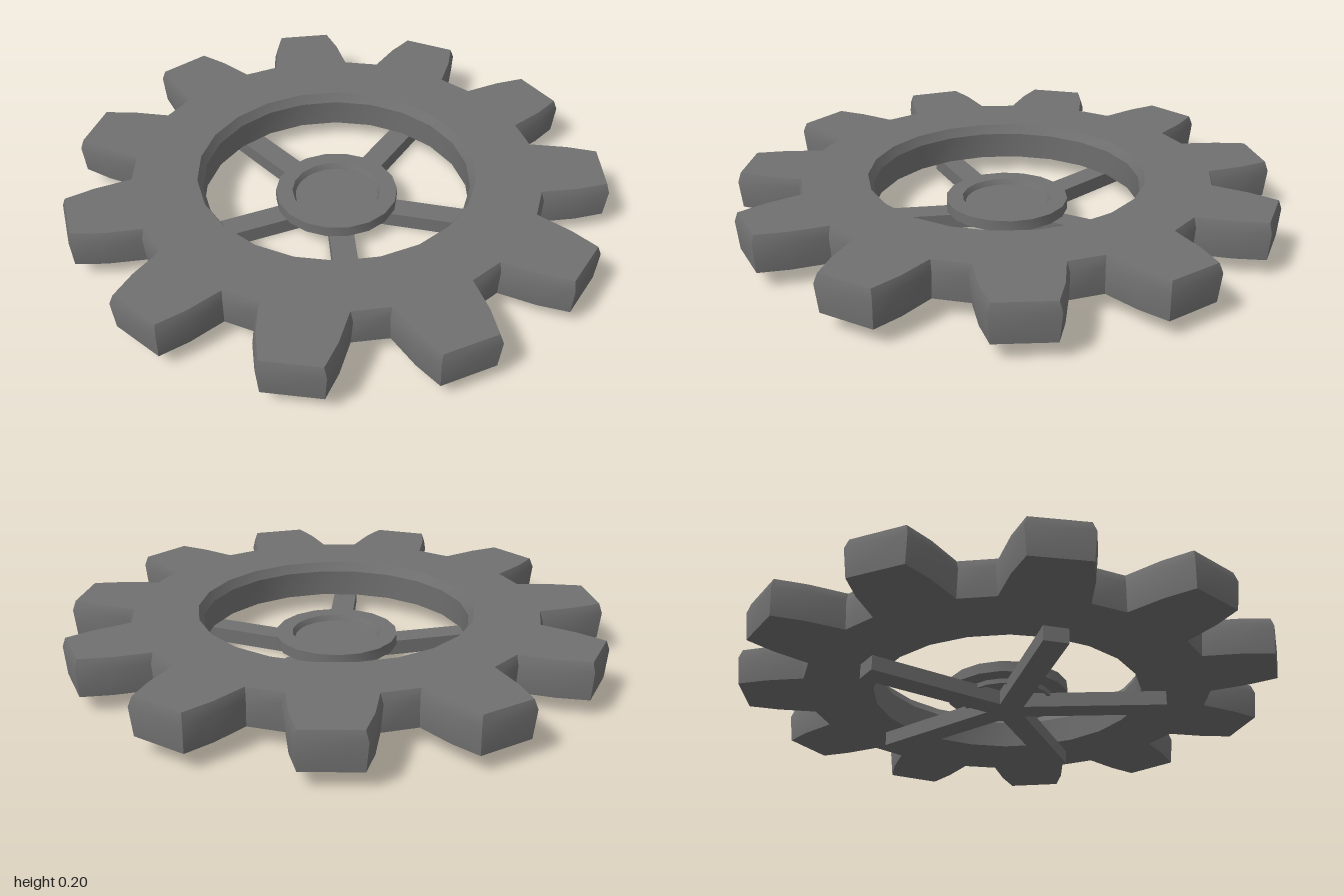
import * as THREE from 'three';
import { toCreasedNormals } from 'three/addons/utils/BufferGeometryUtils.js';

const TEETH = 11;
const STEP = (Math.PI * 2) / TEETH;
const CENTRE_X = 0.0045; // an odd tooth count puts the axle slightly off the middle
const material = new THREE.MeshStandardMaterial({ color: 0x707070 });

// Toothed outline, counter-clockwise; inset shrinks it for the softened edges
function toothOutline(inset) {
  const flank = [[0.748 - inset, 0.157 - inset], [0.885 - inset, 0.139 - inset], [0.993 - inset, 0.11 - inset]];
  const profile = [...flank.map(([r, w]) => [r, -w]), ...flank.reverse()];
  const points = [];
  for (let i = 0; i < TEETH; i++) {
    const a = (i + 0.5) * STEP, c = Math.cos(a), s = Math.sin(a);
    for (const [r, w] of profile) points.push(new THREE.Vector2(r * c - w * s, r * s + w * c));
  }
  return points;
}

// Central opening, clockwise, two facets per tooth
function openingOutline(radius) {
  const points = [];
  for (let i = 0; i < TEETH * 2; i++) {
    const a = -(i + 0.5) * STEP / 2;
    points.push(new THREE.Vector2(radius * Math.cos(a), radius * Math.sin(a)));
  }
  return points;
}

// Stacked cross-sections joined by walls, capped at top and bottom
function gearGeometry() {
  const sections = [
    { h: 0.062, outer: toothOutline(0.008), inner: openingOutline(0.5) },
    { h: 0.165, outer: toothOutline(0), inner: openingOutline(0.495) },
    { h: 0.2, outer: toothOutline(0.01), inner: openingOutline(0.514) },
  ];
  const pos = [];
  const put = (p, h) => pos.push(p.x, h, -p.y);
  for (let k = 0; k < sections.length - 1; k++) {
    const lo = sections[k], hi = sections[k + 1];
    for (const key of ['outer', 'inner']) {
      const a = lo[key], b = hi[key];
      for (let i = 0; i < a.length; i++) {
        const j = (i + 1) % a.length;
        put(a[i], lo.h); put(a[j], lo.h); put(b[j], hi.h);
        put(a[i], lo.h); put(b[j], hi.h); put(b[i], hi.h);
      }
    }
  }
  const cap = ({ h, outer, inner }, flip) => {
    const all = [...outer, ...inner];
    for (const f of THREE.ShapeUtils.triangulateShape(outer, [inner])) {
      for (const i of flip ? [f[0], f[2], f[1]] : f) put(all[i], h);
    }
  };
  cap(sections[0], true);
  cap(sections[2], false);
  const g = new THREE.BufferGeometry();
  g.setAttribute('position', new THREE.Float32BufferAttribute(pos, 3));
  return toCreasedNormals(g, 0.45);
}

function add(parent, name, geometry, mat = material) {
  const mesh = new THREE.Mesh(geometry, mat);
  mesh.name = name;
  parent.add(mesh);
  return mesh;
}

export function createModel() {
  const model = new THREE.Group();
  model.name = 'spokedGear';
  const wheel = new THREE.Group();
  wheel.name = 'wheel';
  wheel.position.x = CENTRE_X;
  model.add(wheel);

  add(wheel, 'toothedRim', gearGeometry());

  // Five flat spokes meeting under the hub
  const spokes = new THREE.Group();
  spokes.name = 'spokes';
  wheel.add(spokes);
  for (let i = 0; i < 5; i++) {
    const bar = new THREE.BoxGeometry(0.588, 0.055, 0.09);
    bar.translate(0.294, 0.0275, 0);
    add(spokes, 'spoke', bar).rotation.y = Math.PI + (i * Math.PI * 2) / 5;
  }

  // Hub flange on a narrower collar, with a shallow recessed floor
  const section = [[0.156, 0.042], [0.168, 0.042], [0.168, 0.06], [0.228, 0.06],
    [0.228, 0.1], [0.166, 0.1], [0.156, 0.08], [0.156, 0.042]]
    .map(([r, y]) => new THREE.Vector2(r, y));
  add(wheel, 'hubRing', toCreasedNormals(new THREE.LatheGeometry(section, 18).toNonIndexed(), 0.4));
  const floor = new THREE.CircleGeometry(0.156, 18);
  floor.rotateX(-Math.PI / 2);
  const thin = material.clone();
  thin.side = THREE.DoubleSide;
  add(wheel, 'hubFloor', floor, thin).position.y = 0.08;

  return model;
}
